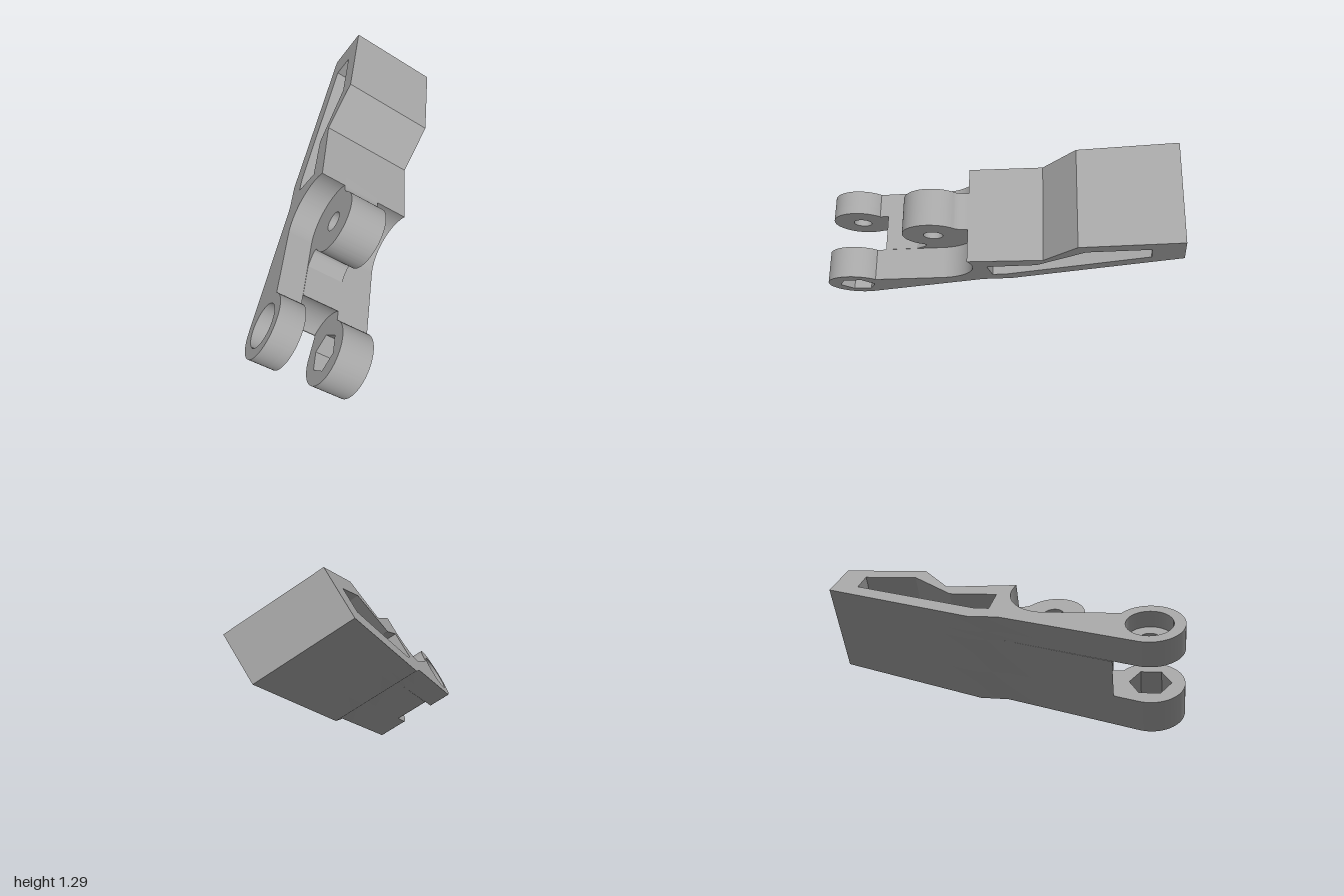
import * as THREE from 'three';
import { toCreasedNormals } from 'three/addons/utils/BufferGeometryUtils.js';

const WIDTH = 0.584;
const HUB = [-0.753, 0.533], LUG = [-0.081, 0.694];
const R = 0.19, CLEAR = 0.243, PIN = 0.06;
const rad = THREE.MathUtils.degToRad;

const circle = (c, r) => new THREE.Path().absarc(c[0], c[1], r, 0, Math.PI * 2, true);
const lines = (path, pts) => pts.forEach(p => path.lineTo(p[0], p[1]));

function hexagon(c, r) {
  return new THREE.Path(Array.from({ length: 6 }, (_, i) => {
    const a = rad(42 - 60 * i);
    return new THREE.Vector2(c[0] + r * Math.cos(a), c[1] + r * Math.sin(a));
  }));
}

// underside, tail end and stepped top, shared by every slice
const BODY = [[0.075, 0.324], [0.248, 0.273], [1.334, 0.271], [1.409, 0.542],
  [0.856, 0.698], [0.586, 0.551], [0.168, 0.703]];

// side window that runs through the whole width
const windowHole = () => new THREE.Path([[0.178, 0.395], [0.223, 0.56], [0.512, 0.477],
  [0.866, 0.597], [1.21, 0.498], [1.171, 0.368], [0.272, 0.371]].map(p => new THREE.Vector2(...p)));

// outer slice: rounded hub at the tip and a concave seat beside the lug
function armShape(hole) {
  const s = new THREE.Shape();
  s.moveTo(HUB[0], HUB[1] - R);
  lines(s, BODY);
  s.absarc(LUG[0], LUG[1], 0.246, rad(2), rad(-106), true);
  s.lineTo(-0.572, 0.588);
  s.absarc(HUB[0], HUB[1], R, rad(17), rad(270), false);
  s.holes.push(windowHole(), hole);
  return s;
}

// middle slice: lug on a filleted neck, and clearance for the mating hub
function middleShape() {
  const s = new THREE.Shape();
  s.moveTo(-0.615, 0.339);
  lines(s, BODY);
  s.quadraticCurveTo(0.115, 0.72, LUG[0] + R * Math.cos(rad(20)), LUG[1] + R * Math.sin(rad(20)));
  s.absarc(LUG[0], LUG[1], R, rad(20), rad(222), false);
  s.quadraticCurveTo(-0.2, 0.53, -0.315, 0.513);
  s.lineTo(-0.515, 0.573);
  s.absarc(HUB[0], HUB[1], CLEAR, rad(9.5), rad(-54), true);
  s.holes.push(windowHole(), circle(LUG, PIN));
  return s;
}

export function createModel() {
  const grey = new THREE.MeshStandardMaterial({ color: 0xa6a6a6 });
  grey.name = 'grey';
  const link = new THREE.Group();
  link.name = 'hingeLink';

  const slice = (name, shape, from, to) => {
    const geo = new THREE.ExtrudeGeometry(shape, { depth: to - from, bevelEnabled: false, curveSegments: 40 });
    geo.translate(0, 0, from);
    const mesh = new THREE.Mesh(toCreasedNormals(geo, rad(25)), grey);
    mesh.name = name;
    link.add(mesh);
  };
  slice('counterboredArm', armShape(circle(HUB, 0.128)), 0, 0.1);
  slice('pinHoleArm', armShape(circle(HUB, PIN)), 0.1, 0.155);
  slice('middleWithLug', middleShape(), 0.155, 0.385);
  slice('hexSocketArm', armShape(hexagon(HUB, 0.117)), 0.385, WIDTH);

  // tilt the link into its resting pose
  const w = new THREE.Vector3(0.749, -0.548, 0.372).normalize();
  const v = w.clone().cross(new THREE.Vector3(0.619, 0.37, -0.692)).normalize();
  const u = v.clone().cross(w);
  link.quaternion.setFromRotationMatrix(new THREE.Matrix4().makeBasis(u, v, w));
  link.position.copy(w).multiplyScalar(-0.073 - WIDTH);

  const model = new THREE.Group();
  model.name = 'model';
  model.add(link);
  return model;
}
